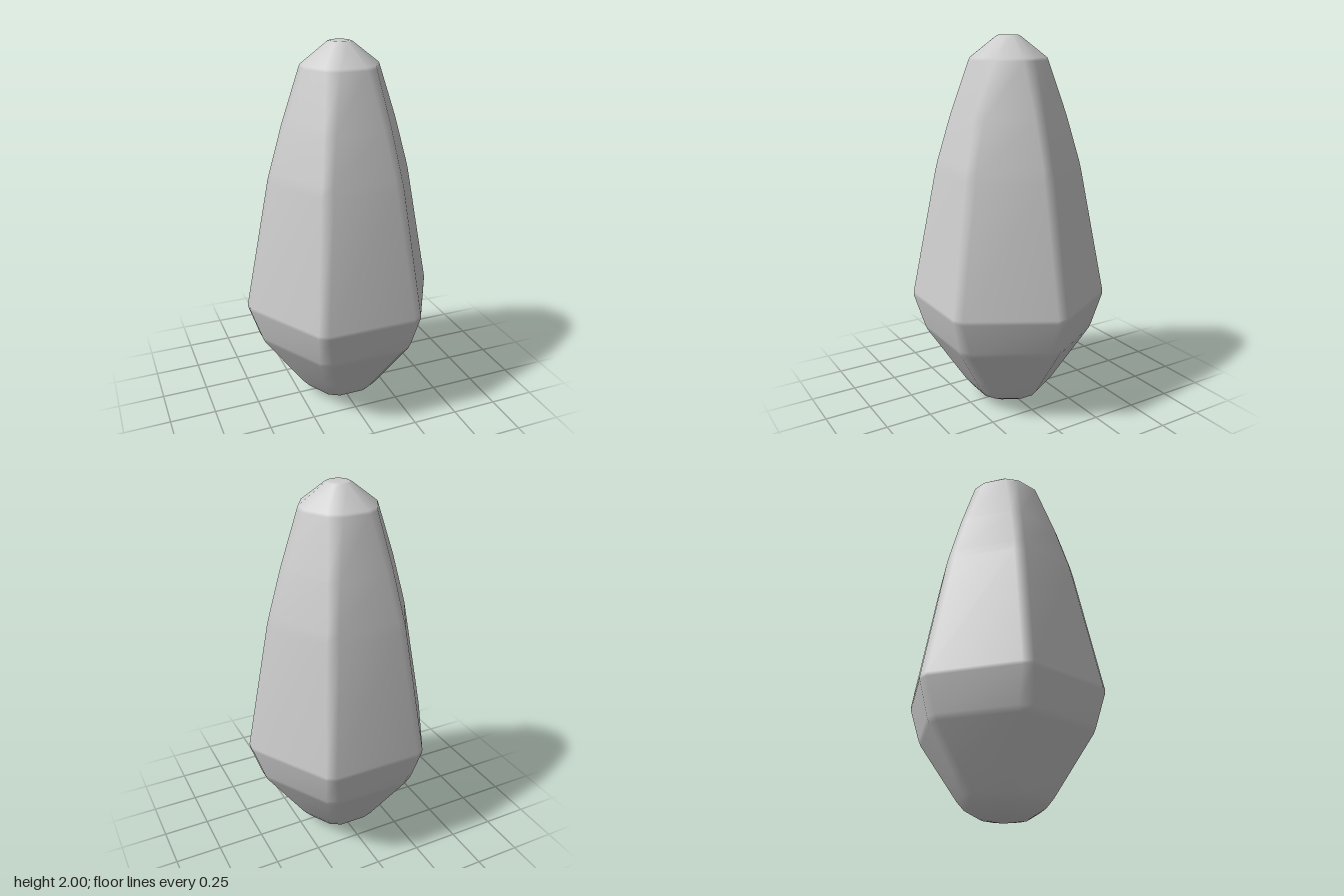
import * as THREE from 'three';

// Hexagonal rings from bottom to top: height, distance to flat side, distance to blunted corner
const RINGS = [
  [0.0, 0.055, 0.057], [0.012, 0.12, 0.125], [0.055, 0.19, 0.2], [0.1, 0.225, 0.24],
  [0.2, 0.285, 0.31], [0.405, 0.408, 0.453], [0.435, 0.42, 0.465],
  [0.61, 0.467, 0.523], [0.63, 0.467, 0.523],
  [1.31, 0.35, 0.386], [1.36, 0.338, 0.374], [1.6, 0.277, 0.302],
  [1.875, 0.195, 0.204], [1.89, 0.19, 0.197], [1.995, 0.062, 0.063], [2.0, 0.05, 0.051],
];

// Two points per blunted corner, twelve points per ring
function ringPoints([y, flat, corner]) {
  const points = [];
  const half = (flat * 2 / Math.sqrt(3) - corner) * Math.sqrt(3);
  for (let k = 0; k < 6; k++) {
    const c = Math.cos(k * Math.PI / 3), s = Math.sin(k * Math.PI / 3);
    for (const t of [-half, half]) points.push(corner * c - t * s, y, -(corner * s + t * c));
  }
  return points;
}

function crystalGeometry() {
  const n = 12, last = RINGS.length - 1;
  const positions = RINGS.flatMap(ringPoints);
  const index = [];
  const bottom = positions.length / 3, top = bottom + 1;
  positions.push(0, 0, 0, 0, 2, 0);
  for (let i = 0; i < n; i++) {
    const j = (i + 1) % n;
    for (let r = 0; r < last; r++) {
      const a = r * n + i, b = r * n + j;
      index.push(a, b, b + n, a, b + n, a + n);
    }
    index.push(j, i, bottom, last * n + i, last * n + j, top);
  }
  const geometry = new THREE.BufferGeometry();
  geometry.setAttribute('position', new THREE.Float32BufferAttribute(positions, 3));
  geometry.setIndex(index);
  geometry.computeVertexNormals();
  return geometry;
}

export function createModel() {
  const group = new THREE.Group();
  group.name = 'crystal';
  const stone = new THREE.MeshStandardMaterial({ color: 0xcccccc });
  stone.name = 'light grey stone';
  const body = new THREE.Mesh(crystalGeometry(), stone);
  body.name = 'crystalBody';
  group.add(body);
  return group;
}
